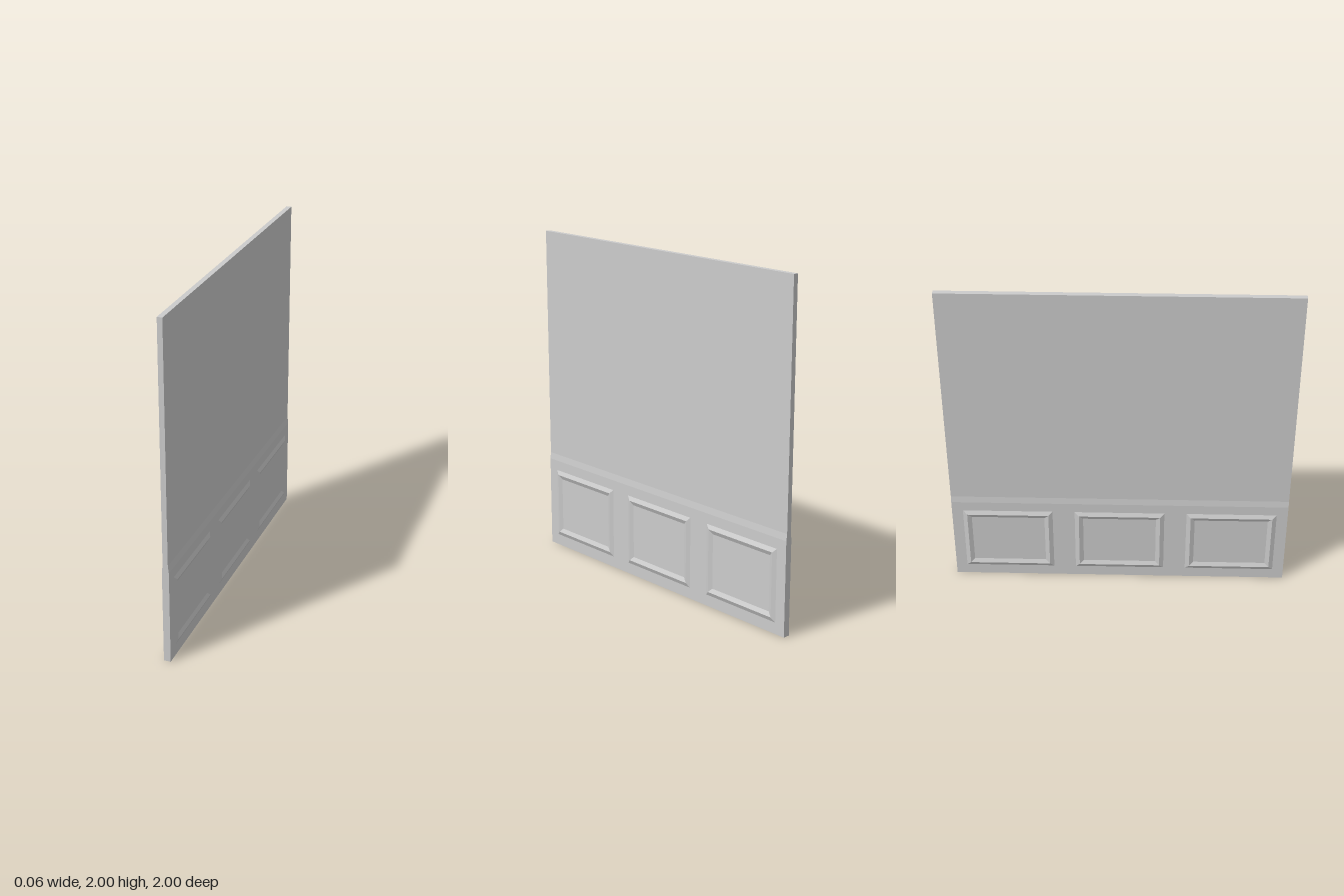
import * as THREE from 'three';

const material = new THREE.MeshStandardMaterial({ color: 0xcccccc, flatShading: true });

// Rectangular moulding: rings of four corners joined by mitred slopes, facing +x
function mouldingGeometry(width, height, rings) {
  const positions = [], indices = [];
  for (const [inset, x] of rings) {
    const w = width / 2 - inset, h = height / 2 - inset;
    for (const [sz, sy] of [[1, -1], [-1, -1], [-1, 1], [1, 1]]) positions.push(x, sy * h, sz * w);
  }
  for (let r = 0; r < rings.length - 1; r++) {
    for (let i = 0; i < 4; i++) {
      const a = r * 4 + i, b = r * 4 + (i + 1) % 4;
      indices.push(a, b, b + 4, a, b + 4, a + 4);
    }
  }
  const geometry = new THREE.BufferGeometry();
  geometry.setAttribute('position', new THREE.Float32BufferAttribute(positions, 3));
  geometry.setIndex(indices);
  const flat = geometry.toNonIndexed();
  flat.computeVertexNormals();
  return flat;
}

export function createModel() {
  const group = new THREE.Group();
  group.name = 'panelledWall';

  // Wall slab with a thicker wainscot that tapers in at its top edge
  const half = [[0.02, 0], [0.02, 0.56], [0.015, 0.6], [0.015, 2]];
  const outline = [...half, ...half.map(([x, y]) => [-x, y]).reverse()];
  const profile = new THREE.Shape(outline.map(([x, y]) => new THREE.Vector2(x, y)));
  const wallGeometry = new THREE.ExtrudeGeometry(profile, { depth: 2, bevelEnabled: false });
  wallGeometry.translate(0, 0, -1);
  const wall = new THREE.Mesh(wallGeometry, material);
  wall.name = 'wall';
  group.add(wall);

  // Three ridged panel mouldings on each face
  const moulding = mouldingGeometry(0.535, 0.43, [[0, 0.02], [0.025, 0.031], [0.05, 0.02]]);
  for (const side of [1, -1]) {
    for (let i = -1; i <= 1; i++) {
      const panel = new THREE.Mesh(moulding, material);
      panel.name = side > 0 ? 'leftPanelMoulding' : 'rightPanelMoulding';
      panel.position.set(0, 0.283, i * 0.667);
      panel.rotation.y = side > 0 ? 0 : Math.PI;
      group.add(panel);
    }
  }
  return group;
}
